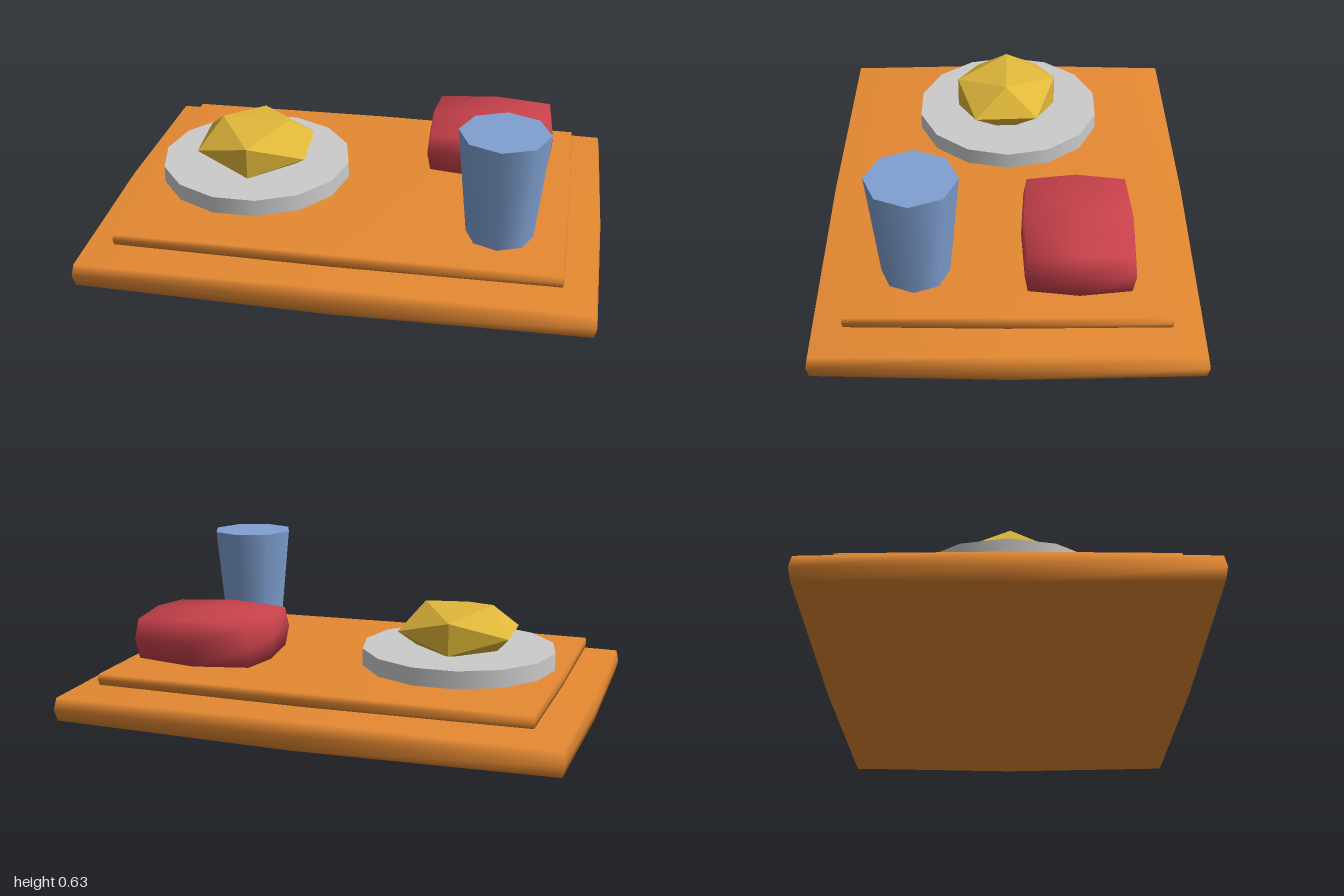
import * as THREE from 'three';
import { mergeVertices } from 'three/addons/utils/BufferGeometryUtils.js';

const mat = (color, flatShading = false) => new THREE.MeshStandardMaterial({ color, flatShading });

function part(name, geometry, material, x, y, z) {
  const mesh = new THREE.Mesh(geometry, material);
  mesh.name = name;
  mesh.position.set(x, y, z);
  return mesh;
}

// Smooth pillow: a 2x2x2 box whose corners are drawn in by `inset` and edges by half of it.
function pillow(half, inset) {
  let geo = new THREE.BoxGeometry(2, 2, 2, 2, 2, 2);
  geo.deleteAttribute('uv');
  geo.deleteAttribute('normal');
  geo = mergeVertices(geo);
  const pos = geo.attributes.position;
  for (let i = 0; i < pos.count; i++) {
    const p = [pos.getX(i), pos.getY(i), pos.getZ(i)];
    const sum = p.reduce((s, v) => s + Math.abs(v), 0);
    const q = p.map((v, k) => v * (half[k] - inset[k] * (sum - Math.abs(v)) / 2));
    pos.setXYZ(i, ...q);
  }
  geo.computeVertexNormals();
  return geo;
}

export function createModel() {
  const group = new THREE.Group();
  const wood = mat(0xe58932);

  // Tray and the raised pad on it
  group.add(part('tray', pillow([1, 0.067, 0.735], [0.018, 0.021, 0.017]), wood, 0, 0.067, 0));
  group.add(part('trayPad', pillow([0.866, 0.031, 0.609], [0.007, 0.009, 0.009]), wood, 0, 0.167, 0));

  // Fourteen-sided plate
  const plate = new THREE.CylinderGeometry(0.39, 0.39, 0.07, 14).rotateY(Math.PI / 2);
  group.add(part('plate', plate, mat(0xcccccc), -0.437, 0.23, 0));

  // Faceted food lump, flattened and slightly skewed
  const food = new THREE.IcosahedronGeometry(1, 0).scale(0.263, 0.123, 0.247);
  const p = food.attributes.position;
  for (let i = 0; i < p.count; i++) p.setX(i, p.getX(i) + 0.05 * p.getZ(i));
  group.add(part('food', food, mat(0xe0b83a, true), -0.434, 0.335, 0.008));

  // Soft red bun
  group.add(part('bun', pillow([0.26, 0.105, 0.215], [0.025, 0.025, 0.023]), mat(0xc8414b), 0.52, 0.307, -0.264));

  // Eight-sided tapered cup, closed on top
  const cup = new THREE.CylinderGeometry(0.173, 0.13, 0.432, 8);
  group.add(part('cup', cup, mat(0x7f9fd0), 0.606, 0.416, 0.348));

  return group;
}
